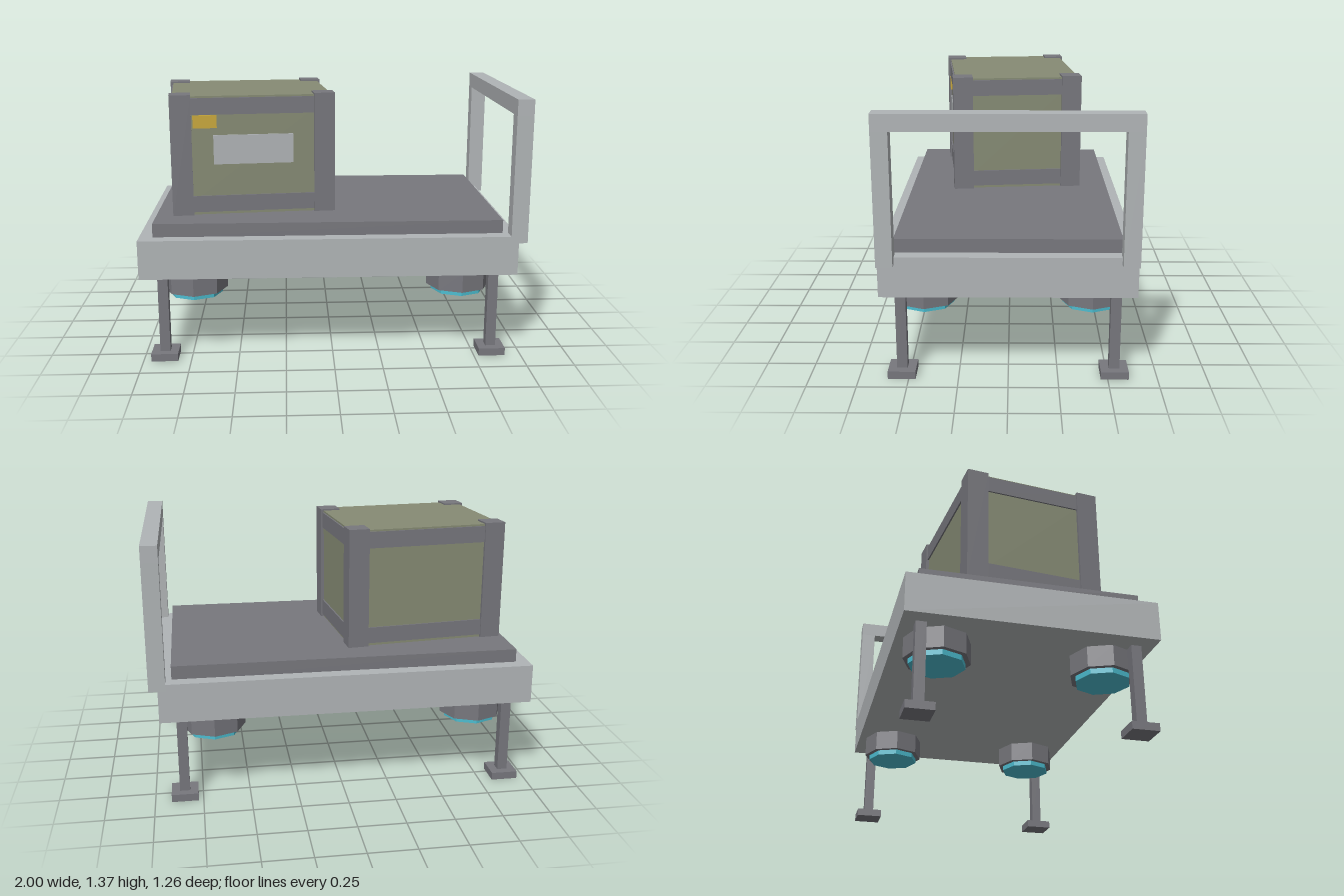
import * as THREE from 'three';

const material = (name, color) => {
  const m = new THREE.MeshStandardMaterial({ color });
  m.name = name;
  return m;
};

export function createModel() {
  const silver = material('light grey metal', 0xb0b4b6);
  const dark = material('dark grey metal', 0x77777d);
  const olive = material('olive panel', 0x868b74);
  const yellow = material('yellow tag', 0xc9a93a);
  const cyan = material('cyan glow', 0x4cbccf);

  const model = new THREE.Group();
  model.name = 'hoverCart';

  const add = (parent, name, geometry, mat, x, y, z) => {
    const mesh = new THREE.Mesh(geometry, mat);
    mesh.name = name;
    mesh.position.set(x, y, z);
    parent.add(mesh);
    return mesh;
  };
  // Box given by its minimum and maximum corners
  const box = (parent, name, mat, [x0, y0, z0], [x1, y1, z1]) =>
    add(parent, name, new THREE.BoxGeometry(x1 - x0, y1 - y0, z1 - z0), mat,
      (x0 + x1) / 2, (y0 + y1) / 2, (z0 + z1) / 2);

  // Platform
  box(model, 'chassis', silver, [-1, 0.46, -0.63], [0.955, 0.665, 0.63]);
  box(model, 'deck', dark, [-0.93, 0.66, -0.557], [0.885, 0.735, 0.557]);

  // Push handle
  const handle = new THREE.Group();
  handle.name = 'handle';
  model.add(handle);
  box(handle, 'handleBar', silver, [0.915, 1.29, -0.63], [1, 1.373, 0.63]);
  for (const s of [-1, 1]) {
    add(handle, 'handlePost', new THREE.BoxGeometry(0.085, 0.66, 0.082), silver, 0.9575, 0.96, s * 0.589);
  }

  // Legs with feet, and octagonal lift units
  const octagon = (r, h) => new THREE.CylinderGeometry(r, r, h, 8).toNonIndexed();
  const flat = (g) => { g.computeVertexNormals(); return g; };
  for (const sx of [-1, 1]) for (const sz of [-1, 1]) {
    const legX = -0.022 + sx * 0.867, legZ = sz * 0.535;
    add(model, 'leg', new THREE.BoxGeometry(0.053, 0.42, 0.053), dark, legX, 0.25, legZ);
    add(model, 'foot', new THREE.BoxGeometry(0.14, 0.04, 0.14), dark, legX, 0.02, legZ);
    const liftX = -0.025 + sx * 0.703, liftZ = sz * 0.422;
    add(model, 'liftHousing', flat(octagon(0.168, 0.11)), dark, liftX, 0.405, liftZ);
    add(model, 'liftGlow', flat(octagon(0.142, 0.03)), cyan, liftX, 0.338, liftZ);
  }

  // Crate, turned slightly on the deck
  const crate = new THREE.Group();
  crate.name = 'crate';
  crate.position.set(-0.445, 0.735, -0.003);
  crate.rotation.y = 0.1;
  model.add(crate);
  const hx = 0.432, hz = 0.36, post = 0.11, inset = 0.016, railInset = 0.008;
  box(crate, 'crateBody', olive, [-hx + inset, 0, -hz + inset], [hx - inset, 0.63, hz - inset]);
  for (const sx of [-1, 1]) for (const sz of [-1, 1]) {
    add(crate, 'cornerPost', new THREE.BoxGeometry(post, 0.638, post), dark,
      sx * (hx - post / 2), 0.319, sz * (hz - post / 2));
  }
  // Upper and lower rails on all four sides
  for (const y of [0.058, 0.577]) for (const s of [-1, 1]) {
    add(crate, 'longRail', new THREE.BoxGeometry(2 * (hx - post), 0.087, 0.03), dark,
      0, y, s * (hz - railInset - 0.015));
    add(crate, 'shortRail', new THREE.BoxGeometry(0.03, 0.087, 2 * (hz - post)), dark,
      s * (hx - railInset - 0.015), y, 0);
  }
  // Front plate and tag
  const face = hz - inset;
  box(crate, 'labelPlate', silver, [-0.21, 0.27, face], [0.21, 0.425, face + 0.008]);
  box(crate, 'tag', yellow, [-0.315, 0.463, face], [-0.19, 0.531, face + 0.009]);

  return model;
}
